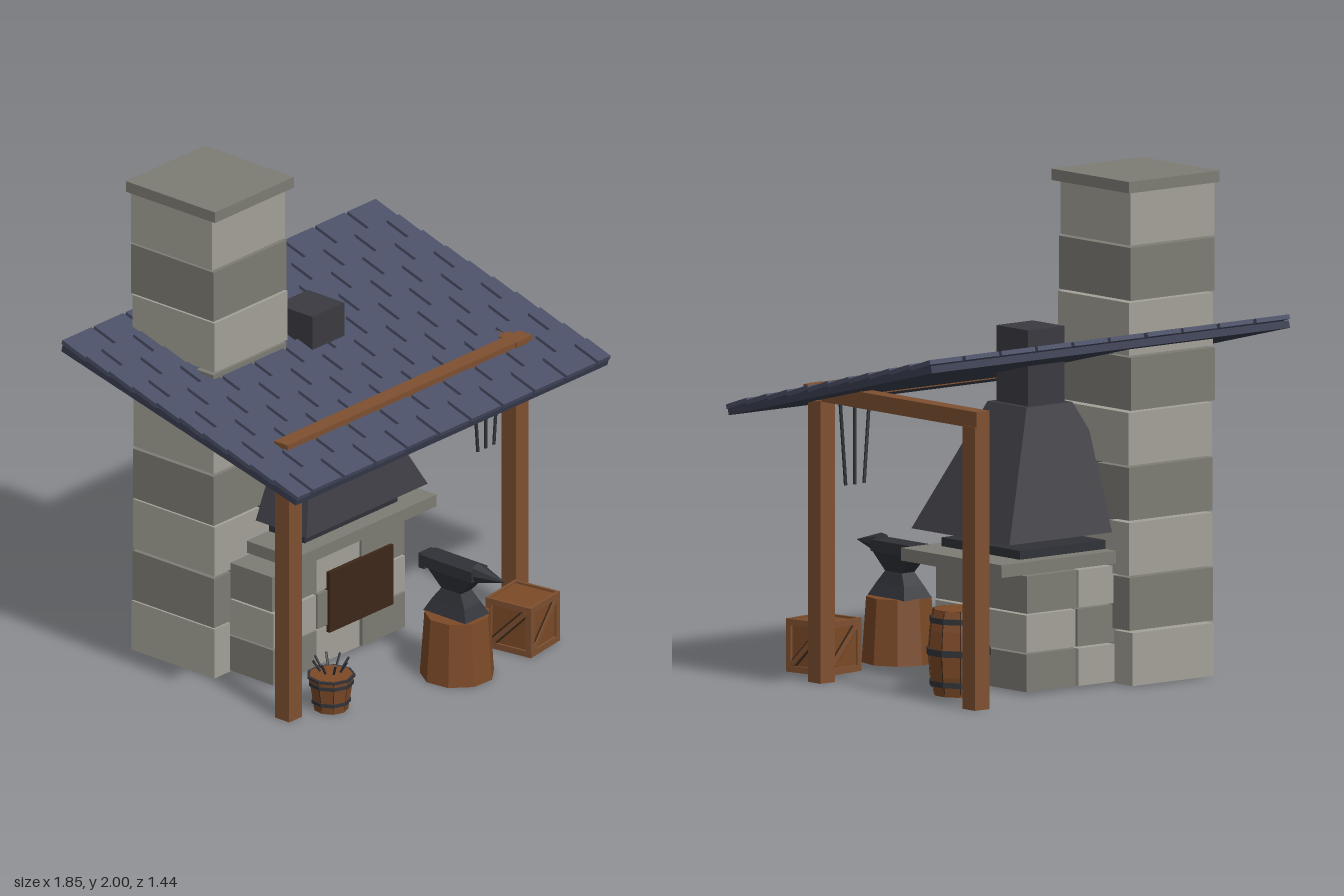
import * as THREE from 'three';

const mat = (name, color, extra = {}) => {
  const m = new THREE.MeshStandardMaterial({ color, flatShading: true, ...extra });
  m.name = name;
  return m;
};

export function createModel() {
  const root = new THREE.Group();
  root.name = 'smithy';
  const lightStone = mat('light stone', 0xa3a197);
  const darkStone = mat('dark stone', 0x7d7c74);
  const wood = mat('timber', 0x7e5030);
  const cask = mat('cask wood', 0x7c4a28, { side: THREE.DoubleSide });
  const darkWood = mat('dark wood', 0x3d2819);
  const tileMat = mat('slate tile', 0x4a4f66);
  const slateBase = mat('slate base', 0x3a3e50);
  const hoodIron = mat('hood iron', 0x3b3a41);
  const iron = mat('black iron', 0x303238);

  const add = (name, geo, material, x = 0, y = 0, z = 0, parent = root) => {
    const m = new THREE.Mesh(geo, material);
    m.name = name;
    m.position.set(x, y, z);
    parent.add(m);
    return m;
  };
  // box given by its limits on each axis
  const span = (name, material, x0, x1, y0, y1, z0, z1, parent = root) =>
    add(name, new THREE.BoxGeometry(x1 - x0, y1 - y0, z1 - z0), material,
      (x0 + x1) / 2, (y0 + y1) / 2, (z0 + z1) / 2, parent);
  const group = (name, x, y, z) => {
    const g = new THREE.Group();
    g.name = name;
    g.position.set(x, y, z);
    root.add(g);
    return g;
  };
  // four-sided block whose top and bottom differ in size
  const frustum = (w0, d0, w1, d1, h) => {
    const g = new THREE.BoxGeometry(1, h, 1);
    const p = g.attributes.position;
    for (let i = 0; i < p.count; i++) {
      const top = p.getY(i) > 0;
      p.setX(i, p.getX(i) * (top ? w1 : w0));
      p.setZ(i, p.getZ(i) * (top ? d1 : d0));
    }
    g.computeVertexNormals();
    return g;
  };
  let seed = 7;
  const jitter = (a) => {
    seed = (seed * 16807) % 2147483647;
    return (seed / 2147483647 - 0.5) * 2 * a;
  };

  // chimney of stacked stones with a cap
  for (let i = 0; i < 9; i++) {
    const y = i * 0.2175;
    add('chimneyStone', new THREE.BoxGeometry(0.425 + jitter(0.008), 0.209, 0.425 + jitter(0.008)),
      i % 2 ? darkStone : lightStone, -0.387 + jitter(0.007), y + 0.108, -0.42 + jitter(0.007));
  }
  span('chimneyCap', darkStone, -0.615, -0.15, 1.955, 2, -0.655, -0.19);

  // hearth: three courses of three stones, slab and coal bed
  for (let r = 0; r < 3; r++) {
    for (let c = 0; c < 3; c++) {
      const x = -0.51 + c * 0.26, j = jitter(0.006);
      span('hearthStone', (r + c) % 2 ? lightStone : darkStone,
        x + 0.003, x + 0.256, 0.01 + r * 0.155, 0.158 + r * 0.155, -0.53 + j, 0.018 + j);
    }
  }
  span('hearthSlab', darkStone, -0.41, 0.42, 0.48, 0.53, -0.555, 0.05);
  span('coalBed', iron, -0.28, 0.27, 0.53, 0.565, -0.49, -0.02);
  span('fireOpening', darkWood, -0.19, 0.185, 0.135, 0.39, -0.08, 0.033);

  // smoke hood and flue
  add('hood', frustum(0.715, 0.59, 0.235, 0.235, 0.5), hoodIron, 0, 0.85, -0.235);
  span('flue', hoodIron, -0.096, 0.092, 1.1, 1.4, -0.33, -0.14);

  // timber frame: three posts, front and side beams
  span('frontRightPost', wood, -0.72, -0.645, 0, 1.12, 0.215, 0.29);
  span('frontLeftPost', wood, 0.618, 0.692, 0, 1.12, 0.215, 0.29);
  span('backLeftPost', wood, 0.618, 0.692, 0, 1.12, -0.715, -0.64);
  span('frontBeam', wood, -0.725, 0.72, 1.118, 1.18, 0.215, 0.285);
  span('sideBeam', wood, 0.622, 0.688, 1.115, 1.18, -0.72, 0.29);

  // sloping roof with staggered tile rows, clipped at both sides
  const roof = group('roof', 0, 1.228, -0.103);
  roof.rotation.x = 0.245;
  span('roofBase', slateBase, -0.922, 0.918, -0.025, 0.004, -0.63, 0.63, roof);
  const pitch = 0.187, rowDepth = 1.262 / 10;
  for (let r = 0; r < 10; r++) {
    const start = -0.935 - (r % 2 ? pitch / 2 : 0);
    for (let c = 0; c < 11; c++) {
      const x0 = Math.max(-0.927, start + c * pitch + 0.008);
      const x1 = Math.min(0.922, start + (c + 1) * pitch - 0.008);
      if (x1 - x0 < 0.02) continue;
      const z = -0.631 + (r + 0.5) * rowDepth;
      const t = add('roofTile', new THREE.BoxGeometry(x1 - x0, 0.018, rowDepth + 0.004 + jitter(0.005)),
        tileMat, (x0 + x1) / 2, 0.014, z, roof);
      t.rotation.x = 0.07;
    }
  }

  // hanging tools behind the front beam
  for (const [top, low] of [[0.41, 0.437], [0.485, 0.485], [0.562, 0.534]]) {
    const t = add('hangingTool', new THREE.CylinderGeometry(0.007, 0.007, 0.36, 6), iron,
      (top + low) / 2, 0.945, 0.25);
    t.rotation.z = Math.atan2(low - top, 0.33);
  }

  // stump and anvil
  const stump = add('stump', new THREE.CylinderGeometry(0.13, 0.148, 0.26, 9), cask, 0.075, 0.13, 0.465);
  stump.rotation.y = 0.3;
  const anvil = group('anvil', 0.08, 0, 0.455);
  add('anvilFoot', frustum(0.145, 0.22, 0.1, 0.17, 0.05), iron, 0, 0.283, 0, anvil);
  add('anvilWaist', frustum(0.1, 0.17, 0.065, 0.1, 0.05), iron, 0, 0.333, 0, anvil);
  add('anvilShoulder', frustum(0.065, 0.1, 0.09, 0.23, 0.075), iron, 0, 0.395, 0, anvil);
  add('anvilFace', new THREE.BoxGeometry(0.095, 0.045, 0.27), iron, 0, 0.452, -0.015, anvil);
  add('anvilHeel', new THREE.BoxGeometry(0.075, 0.062, 0.03), iron, 0, 0.444, -0.15, anvil);
  const horn = add('anvilHorn', new THREE.ConeGeometry(0.043, 0.15, 8), iron, 0, 0.455, 0.185, anvil);
  horn.rotation.x = Math.PI / 2;

  // crate with corner frames and diagonal braces
  const crate = group('crate', 0.464, 0.105, 0.462);
  crate.rotation.y = 0.15;
  add('cratePanels', new THREE.BoxGeometry(0.192, 0.192, 0.192), cask, 0, 0, 0, crate);
  for (let s = 0; s < 4; s++) {
    const side = new THREE.Group();
    side.name = 'crateSide';
    side.rotation.y = s * Math.PI / 2;
    crate.add(side);
    for (const k of [-1, 1]) {
      add('crateRail', new THREE.BoxGeometry(0.21, 0.025, 0.012), wood, 0, k * 0.0925, 0.099, side);
      add('crateStile', new THREE.BoxGeometry(0.025, 0.16, 0.012), wood, k * 0.0925, 0, 0.099, side);
    }
    for (const [w, d, m] of [[0.034, 0.004, darkWood], [0.02, 0.01, wood]]) {
      add('crateBrace', new THREE.BoxGeometry(0.222, w, d), m, 0, 0, 0.096 + d / 2, side).rotation.z = Math.PI / 4;
    }
  }

  // staved vessel: dark core, separate staves, iron bands
  const vessel = (name, x, z, profile, count, bands) => {
    const g = group(name, x, 0, z);
    const pts = profile.map(([r, y]) => new THREE.Vector2(r, y));
    const inner = pts.map((p) => new THREE.Vector2(p.x * 0.96, p.y));
    add(name + 'Core', new THREE.LatheGeometry(inner, count), darkWood, 0, 0, 0, g);
    const step = Math.PI * 2 / count;
    for (let i = 0; i < count; i++) {
      add(name + 'Stave', new THREE.LatheGeometry(pts, 1, i * step, step * 0.95), cask, 0, 0, 0, g);
    }
    for (const [y, r, h] of bands) add(name + 'Band', new THREE.CylinderGeometry(r, r, h, count), iron, 0, y, 0, g);
    return g;
  };
  const barrel = vessel('barrel', 0.46, -0.345,
    [[0.1, 0.002], [0.118, 0.08], [0.125, 0.17], [0.118, 0.26], [0.105, 0.34]], 10,
    [[0.05, 0.118, 0.022], [0.175, 0.13, 0.026], [0.3, 0.117, 0.022]]);
  for (const y of [0.006, 0.335]) {
    add('barrelHead', new THREE.CylinderGeometry(0.1, 0.1, 0.01, 10), cask, 0, y, 0, barrel);
  }

  // bucket with rim and a bundle of nails
  const bucket = vessel('bucket', -0.508, 0.32, [[0.068, 0.002], [0.09, 0.145]], 9,
    [[0.04, 0.079, 0.014], [0.115, 0.09, 0.014], [0.143, 0.097, 0.008]]);
  add('bucketBottom', new THREE.CylinderGeometry(0.068, 0.068, 0.01, 9), cask, 0, 0.006, 0, bucket);
  add('bucketFill', new THREE.CylinderGeometry(0.086, 0.086, 0.006, 9), cask, 0, 0.146, 0, bucket);
  for (let i = 0; i < 8; i++) {
    const a = i * Math.PI / 4 + 0.2;
    const spoke = new THREE.Group();
    spoke.name = 'nailSpoke';
    spoke.rotation.y = a;
    bucket.add(spoke);
    add('nail', new THREE.CylinderGeometry(0.005, 0.005, 0.055, 5), iron, 0.058, 0.187, 0, spoke).rotation.z = -0.55;
  }
  return root;
}
